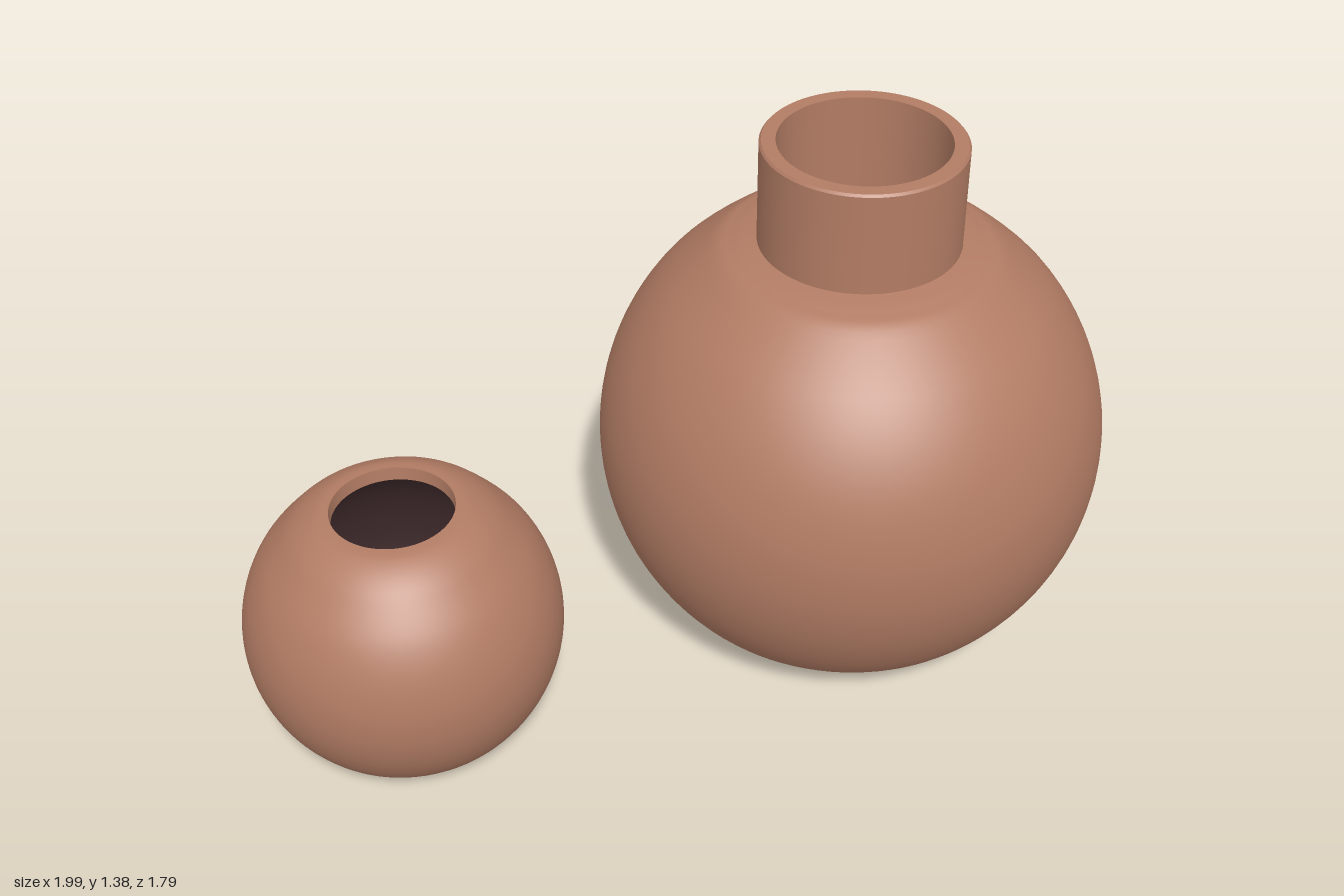
import * as THREE from 'three';

const SEG = 96;
const V = (x, y) => new THREE.Vector2(x, y);

function makeMaterial(name, color) {
  const m = new THREE.MeshStandardMaterial({ color });
  m.name = name;
  return m;
}

// Turned surface along a profile curve, from t0 to t1; either limit may vary with direction.
function band(curve, rows = 1, t0 = () => 0, t1 = () => 1) {
  const geo = new THREE.LatheGeometry(Array.from({ length: rows + 1 }, (_, i) => V(1, i)), SEG);
  const pos = geo.attributes.position, nor = geo.attributes.normal;
  for (let i = 0; i <= SEG; i++) {
    const a = (i / SEG) * Math.PI * 2, sx = Math.sin(a), cz = Math.cos(a);
    for (let j = 0; j <= rows; j++) {
      const t = THREE.MathUtils.lerp(t0(sx, cz), t1(sx, cz), j / rows);
      const p = curve.getPoint(t), d = curve.getTangent(t), k = i * (rows + 1) + j;
      pos.setXYZ(k, p.x * sx, p.y, p.x * cz);
      nor.setXYZ(k, d.y * sx, -d.x, d.y * cz);
    }
  }
  return geo;
}

const line = (r0, y0, r1, y1) => new THREE.LineCurve(V(r0, y0), V(r1, y1));

// Points on a circle arc, in degrees from the equator
function arc(radius, cy, from, to, count) {
  return Array.from({ length: count }, (_, i) => {
    const a = THREE.MathUtils.degToRad(from + ((to - from) * i) / (count - 1));
    return V(radius * Math.cos(a), cy + radius * Math.sin(a));
  });
}

function disc(radius, y, up) {
  return new THREE.CircleGeometry(radius, SEG).rotateX(up ? -Math.PI / 2 : Math.PI / 2).translate(0, y, 0);
}

export function createModel() {
  const clay = makeMaterial('clay', 0xb27c64);
  const glaze = makeMaterial('darkGlaze', 0x3b2728);
  const black = makeMaterial('blackBase', 0x0b0909);

  const model = new THREE.Group();
  model.name = 'vasePair';
  const add = (parent, name, geo, mat) => {
    const mesh = new THREE.Mesh(geo, mat);
    mesh.name = name;
    parent.add(mesh);
    return mesh;
  };

  // Large necked vase
  const large = new THREE.Group();
  large.name = 'largeVase';
  large.position.set(0.35, 0, -0.255);
  model.add(large);

  const largeBody = new THREE.SplineCurve([
    ...arc(0.645, 0.54, -56.8, 55, 8), V(0.31, 1.096), V(0.25, 1.108),
  ]);
  // the dark foot rises towards the back right-hand side
  const largeFoot = (x, z) => Math.max(0, 0.012 - 0.035 * (x + z) * Math.SQRT1_2);
  add(large, 'body', band(largeBody, 48, largeFoot), clay);
  add(large, 'footGlaze', band(largeBody, 3, undefined, largeFoot), glaze);
  add(large, 'base', disc(0.353, 0, false), black);

  add(large, 'neck', band(line(0.25, 1.1, 0.25, 1.369)), clay);
  add(large, 'rimEdge', band(line(0.25, 1.369, 0.245, 1.375)), clay);
  add(large, 'rim', band(line(0.245, 1.375, 0.21, 1.375)), clay);

  // neck lining with an uneven glaze edge
  const lining = line(0.21, 1.375, 0.21, 1.06);
  const liningEdge = (x, z) => {
    const d = (x + z) * Math.SQRT1_2;
    return (1.375 - (1.12 + 0.13 * Math.max(0, d) ** 3)) / 0.315;
  };
  add(large, 'neckLining', band(lining, 2, undefined, liningEdge), clay);
  add(large, 'neckGlaze', band(lining, 2, liningEdge), glaze);
  const largeInside = new THREE.SplineCurve([V(0.21, 1.06), ...arc(0.59, 0.54, 60, -56, 9)]);
  add(large, 'inside', band(largeInside, 32), glaze);
  add(large, 'floor', disc(0.335, 0.052, true), glaze);

  // bare patch and spot on the floor
  const patch = new THREE.Shape();
  patch.setFromPoints(new THREE.SplineCurve([
    V(-0.01, -0.13), V(0.04, -0.12), V(0.07, -0.085), V(0.1, -0.06), V(0.1, -0.025),
    V(0.055, -0.015), V(0.03, -0.05), V(-0.01, -0.09), V(-0.01, -0.13),
  ]).getPoints(40));
  add(large, 'floorPatch', new THREE.ShapeGeometry(patch).rotateX(-Math.PI / 2).translate(0, 0.056, 0), clay);
  add(large, 'floorSpot', new THREE.CircleGeometry(0.022, 16).rotateX(-Math.PI / 2), black)
    .position.set(-0.05, 0.056, 0.175);

  // Small round vase
  const small = new THREE.Group();
  small.name = 'smallVase';
  small.position.set(-0.608, 0, 0.503);
  model.add(small);

  const smallBody = new THREE.SplineCurve([
    ...arc(0.392, 0.322, -55.2, 46, 8), V(0.23, 0.642), V(0.185, 0.666), V(0.15, 0.671),
  ]);
  // the dark foot rises towards the back
  const smallFoot = (x, z) => Math.max(0, 0.11 * (0.1 * x - z - 0.38));
  add(small, 'body', band(smallBody, 48, smallFoot), clay);
  add(small, 'footGlaze', band(smallBody, 3, undefined, smallFoot), glaze);
  add(small, 'base', disc(0.224, 0, false), black);
  add(small, 'lip', band(line(0.15, 0.671, 0.148, 0.636)), clay);
  const smallInside = new THREE.SplineCurve([V(0.148, 0.636), ...arc(0.35, 0.322, 58, -55, 8)]);
  add(small, 'inside', band(smallInside, 28), glaze);
  add(small, 'floor', disc(0.205, 0.036, true), glaze);
  add(small, 'floorSpot', new THREE.CircleGeometry(0.014, 16).rotateX(-Math.PI / 2), black)
    .position.set(-0.025, 0.04, 0.022);

  return model;
}
